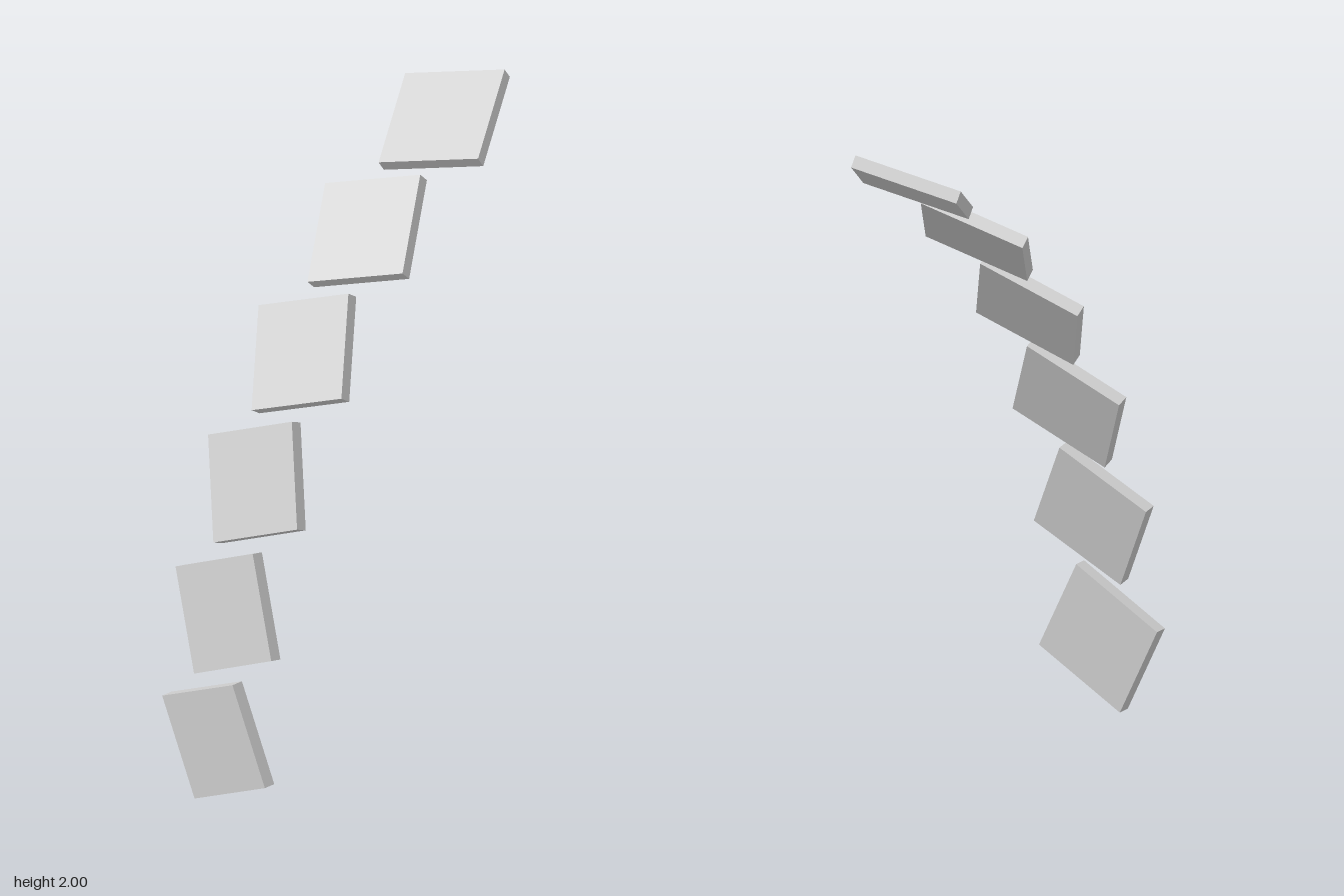
import * as THREE from 'three';

export function createModel() {
  const group = new THREE.Group();
  group.name = 'curvedSlabColumn';
  const lightGrey = new THREE.MeshStandardMaterial({ color: 0xcccccc });
  lightGrey.name = 'lightGrey';

  // Six thin, nearly square slabs following a circular arc
  const radius = 2, step = THREE.MathUtils.degToRad(11.25);
  const twist = THREE.MathUtils.degToRad(-25.5); // turn of each slab in its own plane
  const slab = new THREE.BoxGeometry(0.037, 0.309, 0.32);

  for (let i = 0; i < 6; i++) {
    const a = i * step;
    const mesh = new THREE.Mesh(slab, lightGrey);
    mesh.name = `slab${i + 1}`;
    mesh.position.set(-0.527 + radius * (1 - Math.cos(a)), 0.2085 + radius * Math.sin(a), 0);
    mesh.rotation.set(twist, 0, -a, 'ZYX'); // twist first, then lean along the arc
    group.add(mesh);
  }
  return group;
}
